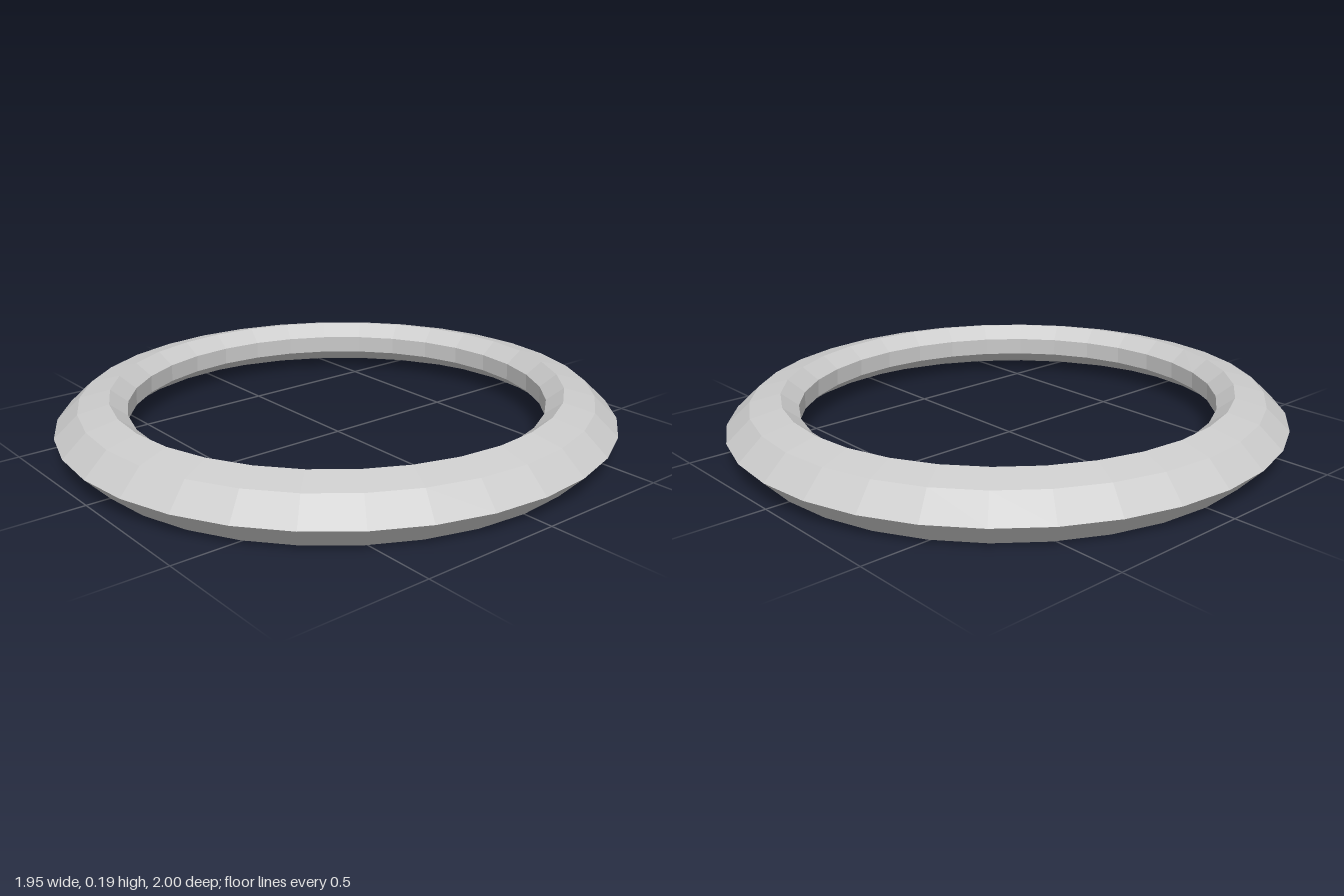
import * as THREE from 'three';

export function createModel() {
  const group = new THREE.Group();
  group.name = 'ring';

  // Seven-sided cross-section (mean radius, height), up the outside and down the inside
  const profile = [
    [0.905, 0], [0.9875, 0.085], [0.905, 0.163], [0.7975, 0.19],
    [0.7375, 0.144], [0.74, 0.08], [0.803, 0.036], [0.905, 0],
  ].map(([r, y]) => new THREE.Vector2(r, y));
  const band = new THREE.LatheGeometry(profile, 32);

  // Slightly oval path: narrower in x, longer in z, with the section width kept
  const oval = 0.0125;
  const pos = band.attributes.position;
  for (let i = 0; i < pos.count; i++) {
    const x = pos.getX(i), z = pos.getZ(i), r = Math.hypot(x, z);
    pos.setX(i, x * (1 - oval / r));
    pos.setZ(i, z * (1 + oval / r));
  }
  band.computeVertexNormals();

  const mesh = new THREE.Mesh(
    band,
    new THREE.MeshStandardMaterial({ color: 0xcccccc, flatShading: true }),
  );
  mesh.name = 'ringBand';
  group.add(mesh);
  return group;
}
